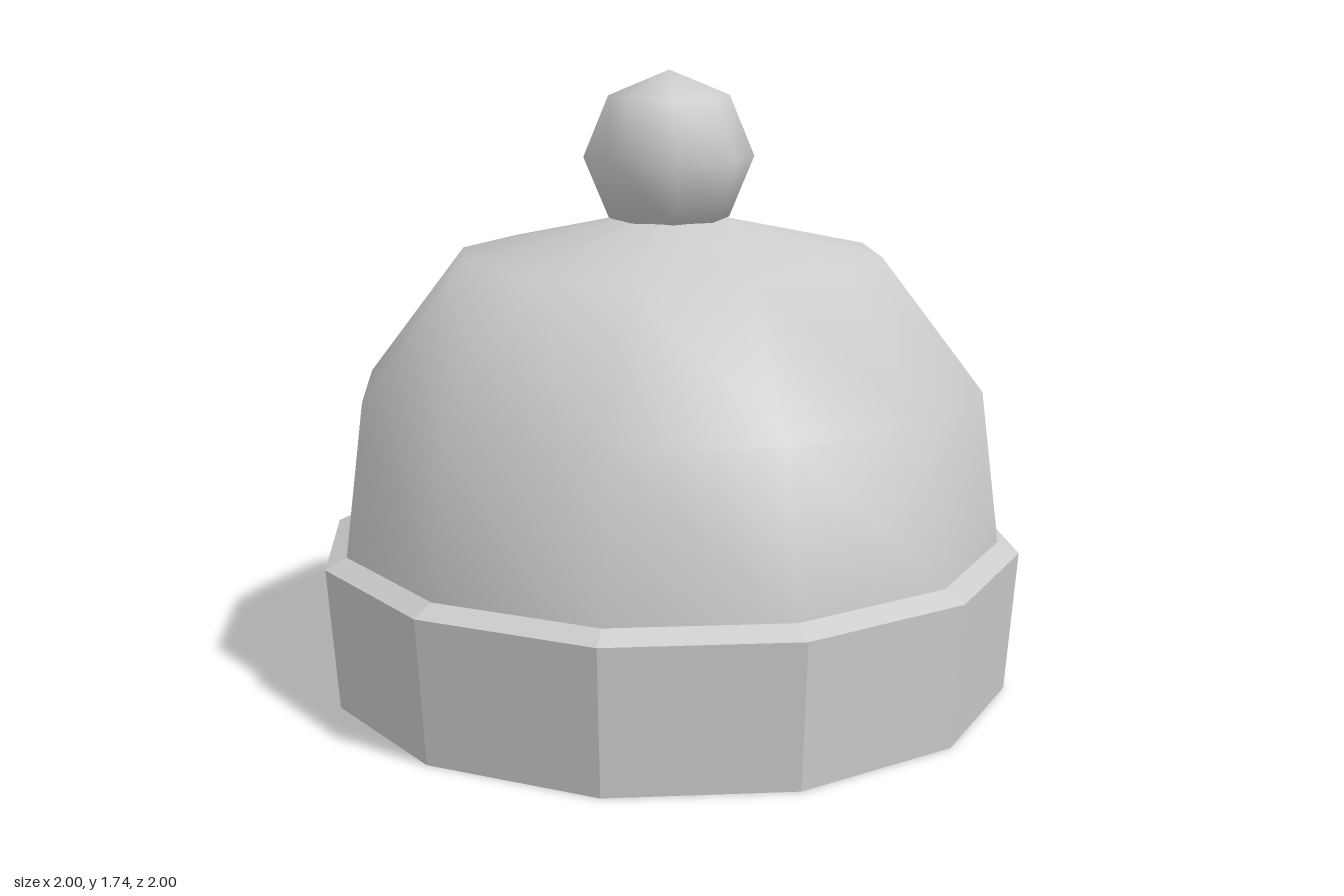
import * as THREE from 'three';

const SIDES = 12;

// Revolves [radius, height] pairs, listed from bottom to top
function revolve(profile) {
  return new THREE.LatheGeometry(profile.map(([r, y]) => new THREE.Vector2(r, y)), SIDES);
}

export function createModel() {
  const group = new THREE.Group();
  group.name = 'bobbleHat';

  const wool = new THREE.MeshStandardMaterial({ color: 0xcccccc });
  wool.name = 'grey wool';

  const add = (name, geometry) => {
    const mesh = new THREE.Mesh(geometry, wool);
    mesh.name = name;
    group.add(mesh);
    return mesh;
  };

  // Faceted turned-up brim with a closed underside and a sloping top lip
  const brim = revolve([[0, 0], [0.97, 0], [1, 0.4], [0.94, 0.43]]).toNonIndexed();
  brim.computeVertexNormals();
  add('brim', brim);

  // Smooth crown
  add('crown', revolve([[0.94, 0.43], [0.885, 0.86], [0.6, 1.23], [0, 1.36]]));

  // Pompom resting in the top of the crown
  add('pompom', new THREE.SphereGeometry(0.24, 8, 4)).position.y = 1.5;

  return group;
}
